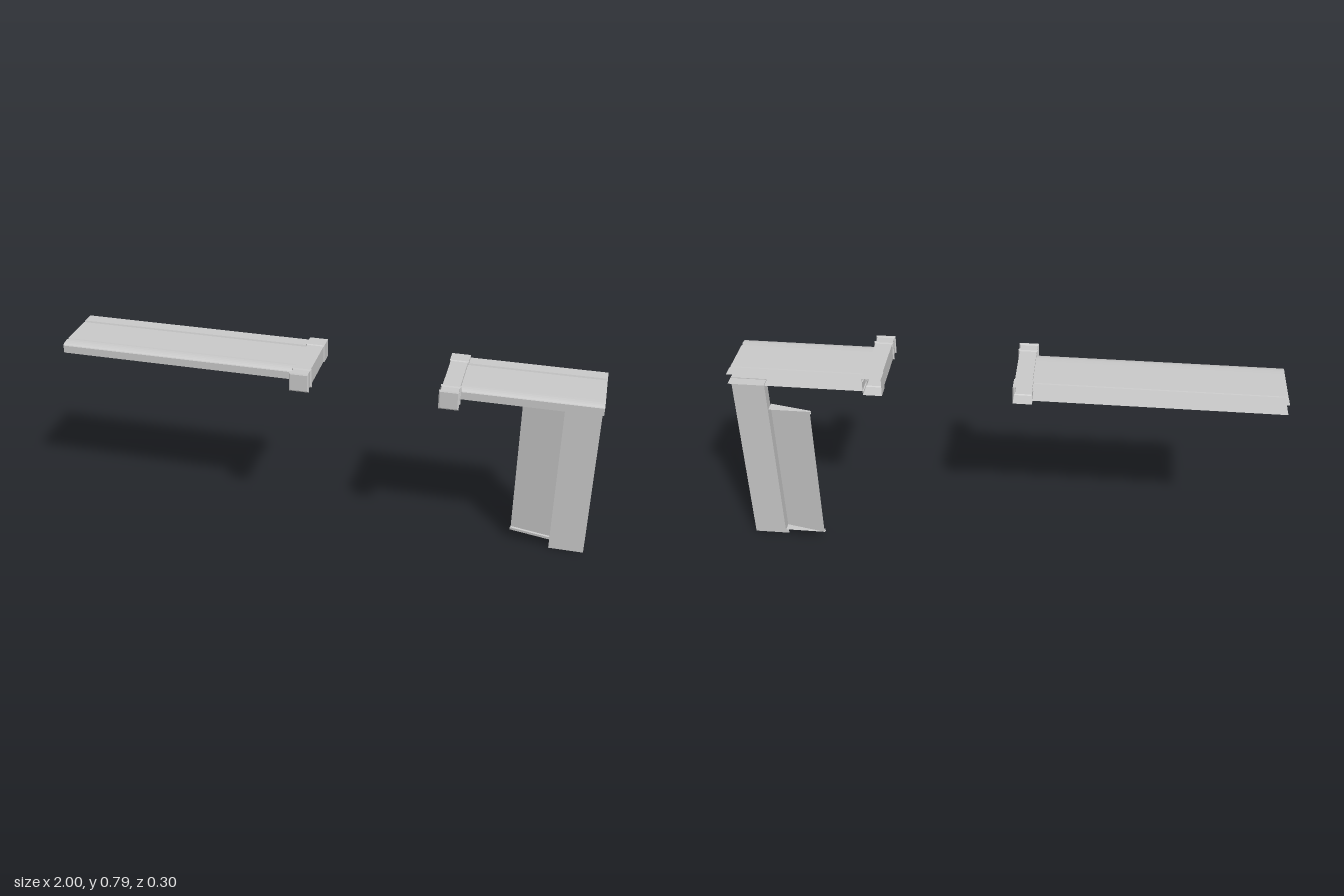
import * as THREE from 'three';

const mat = new THREE.MeshStandardMaterial({ color: 0xcccccc, side: THREE.DoubleSide, flatShading: true });

function mesh(name, geometry) {
  const m = new THREE.Mesh(geometry, mat);
  m.name = name;
  return m;
}

// Thin sheet joining two matching rows of [x, y, z] points
function sheet(name, rowA, rowB) {
  const pos = [];
  for (let i = 0; i < rowA.length - 1; i++) {
    const [a, b, c, d] = [rowA[i], rowA[i + 1], rowB[i + 1], rowB[i]];
    pos.push(...a, ...b, ...c, ...a, ...c, ...d);
  }
  const g = new THREE.BufferGeometry();
  g.setAttribute('position', new THREE.Float32BufferAttribute(pos, 3));
  g.computeVertexNormals();
  return mesh(name, g);
}

// Open-backed channel: grooved top, rounded front edge, flat underside
function beam(name, x0, x1) {
  const profile = [
    [-0.15, 0.775], [-0.102, 0.775], [-0.1, 0.769], [-0.094, 0.769], [-0.092, 0.773],
    [0.052, 0.773], [0.054, 0.769], [0.06, 0.769], [0.062, 0.774]];
  for (let i = 1; i <= 5; i++) {
    const a = (i / 5) * Math.PI / 2;
    profile.push([0.062 + 0.038 * Math.sin(a), 0.764 + 0.01 * Math.cos(a)]);
  }
  profile.push([0.1, 0.735], [-0.15, 0.735]);
  const row = x => profile.map(([z, y]) => [x, y, z]);
  return sheet(name, row(x0), row(x1));
}

// Square tube along z with raised bands, capped in front and open at the back
function bracket(name, x) {
  const body = 0.0315, band = 0.036, block = 0.0345;
  const profile = [
    [block, -0.148], [block, -0.094], [body, -0.09],
    [body, 0.097], [band, 0.1], [band, 0.107], [body, 0.11],
    [body, 0.14], [band, 0.143], [band, 0.148], [body, 0.15], [0, 0.15],
  ].map(([half, z]) => new THREE.Vector2(half * Math.SQRT2, z));
  const g = new THREE.LatheGeometry(profile, 4, Math.PI / 4);
  g.rotateX(Math.PI / 2);
  const m = mesh(name, g);
  m.position.set(x, 0.7515, 0);
  return m;
}

// Slanted side panel with triangular end plates and slim front lips
function sidePanel() {
  const group = new THREE.Group();
  group.name = 'sidePanel';
  const inner = [0.865, -0.112], outer = [0.71, -0.143];
  const y0 = 0.045, y1 = 0.625;
  const at = ([x, z], y, dx = 0, dz = 0) => [x + dx, y, z + dz];
  group.add(sheet('panelFace', [at(outer, y0), at(inner, y0)], [at(outer, y1), at(inner, y1)]));
  for (const [label, y, dir] of [['bottom', y0, 1], ['top', y1, -1]]) {
    // end plate closing the wedge behind the panel
    const back = [0.865, y, -0.143];
    group.add(sheet(label + 'Plate', [at(outer, y), at(inner, y)], [back, back]));
    // folded lip in front of the panel
    const lip = p => [at(p, y), at(p, y, -0.003, 0.007), at(p, y + dir * 0.01, -0.003, 0.007), at(p, y + dir * 0.012)];
    group.add(sheet(label + 'Lip', lip(outer), lip(inner)));
  }
  return group;
}

export function createModel() {
  const model = new THREE.Group();
  model.name = 'trim';

  model.add(beam('longBeam', -1, -0.1), beam('shortBeam', 0.5, 1));
  model.add(bracket('longBeamBracket', -0.07), bracket('shortBeamBracket', 0.47));

  // Post: flat front board with a return along its inner edge
  model.add(sheet('postFront',
    [[0.865, 0, -0.112], [1, 0, -0.112]],
    [[0.865, 0.738, -0.112], [1, 0.738, -0.112]]));
  model.add(sheet('postReturn',
    [[0.865, 0.045, -0.112], [0.865, 0.045, -0.148]],
    [[0.865, 0.738, -0.112], [0.865, 0.738, -0.148]]));

  model.add(sidePanel());
  return model;
}
